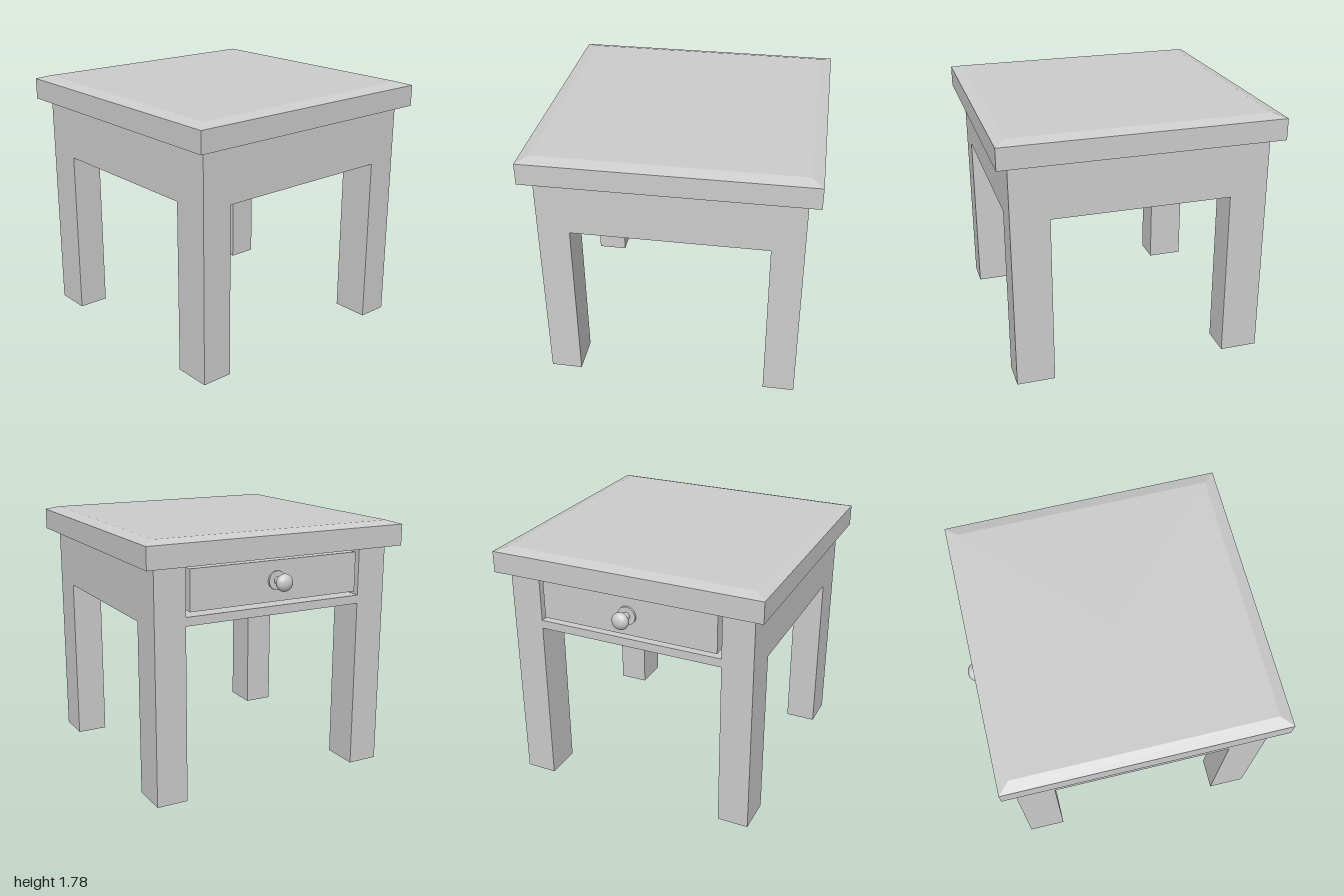
import * as THREE from 'three';

const CX = 0.03; // table centre in x; the knob sticks out on the -x side
const HALF = 0.89; // half width of the body
const LEG_H = 1.21, BODY_TOP = 1.61, SLAB_TOP = 1.76, TOP = 1.785;
const FACE_X = CX - HALF; // plane of the drawer face
const RECESS = 0.2;

const flat = new THREE.MeshStandardMaterial({ color: 0xcccccc, flatShading: true });
const smooth = new THREE.MeshStandardMaterial({ color: 0xcccccc });

export function createModel() {
  const model = new THREE.Group();

  const add = (parent, name, geometry, material = flat) => {
    const mesh = new THREE.Mesh(geometry, material);
    mesh.name = name;
    parent.add(mesh);
    return mesh;
  };
  // Box given by its lower and upper corners
  const box = (parent, name, [x0, y0, z0], [x1, y1, z1]) => {
    const mesh = add(parent, name, new THREE.BoxGeometry(x1 - x0, y1 - y0, z1 - z0));
    mesh.position.set((x0 + x1) / 2, (y0 + y1) / 2, (z0 + z1) / 2);
    return mesh;
  };

  // Table top: slab with a shallow bevel
  const top = new THREE.Group();
  top.name = 'tableTop';
  box(top, 'slab', [CX - 0.97, BODY_TOP, -0.97], [CX + 0.97, SLAB_TOP, 0.97]);
  const bevel = add(top, 'bevel', new THREE.CylinderGeometry(
    HALF * Math.SQRT2, 0.97 * Math.SQRT2, TOP - SLAB_TOP, 4).rotateY(Math.PI / 4));
  bevel.position.set(CX, (SLAB_TOP + TOP) / 2, 0);
  model.add(top);

  // Legs, flush with the body corners
  const legs = new THREE.Group();
  legs.name = 'legs';
  for (const sx of [-1, 1]) {
    for (const sz of [-1, 1]) {
      const leg = box(legs, 'leg', [-0.133, 0, -0.11], [0.133, LEG_H, 0.11]);
      leg.position.x = CX + sx * (HALF - 0.133);
      leg.position.z = sz * (HALF - 0.11);
    }
  }
  model.add(legs);

  // Body: solid core and a frame around the drawer opening
  box(model, 'body', [FACE_X + RECESS, LEG_H, -HALF], [CX + HALF, BODY_TOP, HALF]);
  const rect = (target, w, y0, y1) => {
    target.moveTo(-w, y0);
    target.lineTo(w, y0);
    target.lineTo(w, y1);
    target.lineTo(-w, y1);
    target.closePath();
    return target;
  };
  const frameShape = rect(new THREE.Shape(), HALF, LEG_H, BODY_TOP);
  frameShape.holes.push(rect(new THREE.Path(), 0.67, 1.27, 1.6));
  const frame = add(model, 'drawerFrame',
    new THREE.ExtrudeGeometry(frameShape, { depth: RECESS, bevelEnabled: false }).rotateY(Math.PI / 2));
  frame.position.x = FACE_X;

  // Drawer, with a narrow gap all round
  const drawer = new THREE.Group();
  drawer.name = 'drawer';
  box(drawer, 'drawerBox', [FACE_X, 1.3, -0.64], [FACE_X + RECESS, 1.58, 0.64]);

  // Knob: round plate, stem and flattened ball
  const knob = new THREE.Group();
  knob.name = 'knob';
  const disc = (name, r, x0, x1) => {
    const mesh = add(knob, name,
      new THREE.CylinderGeometry(r, r, x1 - x0, 32).rotateZ(Math.PI / 2), smooth);
    mesh.position.x = (x0 + x1) / 2;
  };
  disc('knobPlate', 0.065, -0.875, FACE_X + 0.005);
  disc('knobStem', 0.027, -0.94, -0.87);
  const ball = add(knob, 'knobBall', new THREE.SphereGeometry(0.06, 32, 20), smooth);
  ball.scale.x = 0.7;
  ball.position.x = -0.958;
  knob.position.y = 1.445;
  drawer.add(knob);
  model.add(drawer);

  return model;
}
